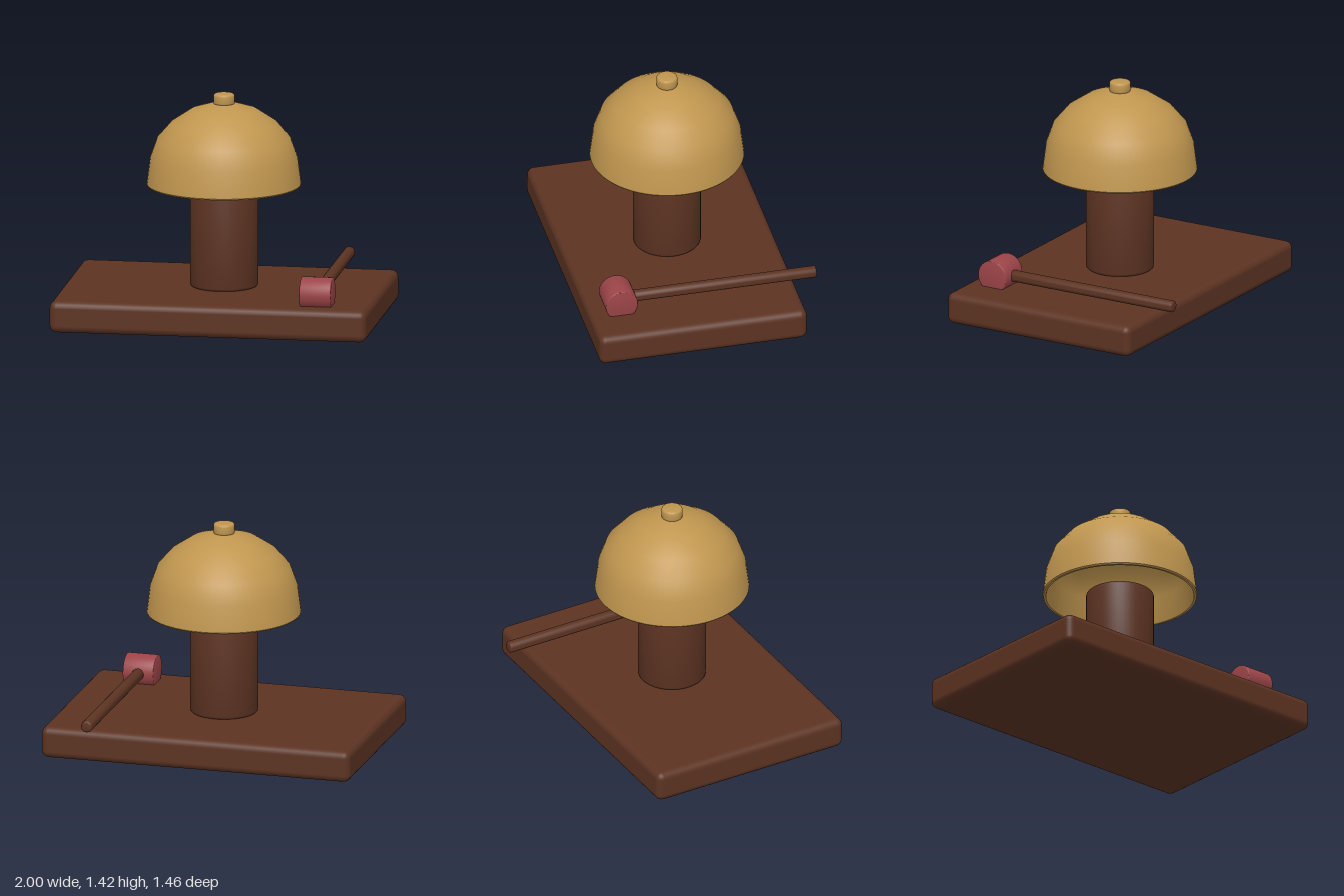
import * as THREE from 'three';
import { RoundedBoxGeometry } from 'three/addons/geometries/RoundedBoxGeometry.js';
import { toCreasedNormals } from 'three/addons/utils/BufferGeometryUtils.js';

const CENTRE_Z = 0.065;

function material(name, color) {
  const m = new THREE.MeshStandardMaterial({ color });
  m.name = name;
  return m;
}

// Solid cylinder standing on y = 0 with softly rounded rims
function roundedCylinder(radius, height, bevel, sides = 48) {
  const points = [new THREE.Vector2(0, 0)];
  for (const [cy, start] of [[bevel, -Math.PI / 2], [height - bevel, 0]]) {
    for (let i = 0; i <= 3; i++) {
      const a = start + (i / 3) * (Math.PI / 2);
      points.push(new THREE.Vector2(radius - bevel + bevel * Math.cos(a), cy + bevel * Math.sin(a)));
    }
  }
  points.push(new THREE.Vector2(0, height));
  return toCreasedNormals(new THREE.LatheGeometry(points, sides), 0.6);
}

export function createModel() {
  const wood = material('dark wood', 0x5c3322);
  const brass = material('brass', 0xc0964f);
  const red = material('mallet red', 0x9b4448);

  const model = new THREE.Group();
  model.name = 'bellWithMallet';
  function add(name, geometry, mat, x, y, z) {
    const mesh = new THREE.Mesh(geometry, mat);
    mesh.name = name;
    mesh.position.set(x, y, z);
    model.add(mesh);
    return mesh;
  }

  // Base slab and the post that carries the bell
  add('base', new RoundedBoxGeometry(2, 0.2, 1.33, 3, 0.045), wood, 0, 0.1, CENTRE_Z);
  add('post', roundedCylinder(0.212, 0.655, 0.018), wood, 0, 0.2, CENTRE_Z);

  // Hollow bell: inner wall from crown to rim, then outer wall back up
  const outer = [
    [0.482, 0.85], [0.461, 1.015], [0.416, 1.14], [0.33, 1.237],
    [0.208, 1.318], [0.085, 1.357], [0, 1.362],
  ];
  const inner = [
    [0, 1.337], [0.08, 1.333], [0.197, 1.296], [0.312, 1.219],
    [0.394, 1.128], [0.437, 1.01], [0.458, 0.85],
  ];
  const rim = [[0.462, 0.841], [0.476, 0.841]];
  const profile = [...inner, ...rim, ...outer].map(([r, y]) => new THREE.Vector2(r, y));
  add('bell', toCreasedNormals(new THREE.LatheGeometry(profile, 64), 0.6), brass, 0, 0, CENTRE_Z);
  add('bellKnob', roundedCylinder(0.066, 0.07, 0.014, 32), brass, 0, 1.352, CENTRE_Z);

  // Mallet: handle along z, striking head across x
  const handle = add('malletHandle', roundedCylinder(0.037, 1.23, 0.012, 24), wood, 0.665, 0.268, 0.5);
  handle.rotation.x = -Math.PI / 2;
  const head = add('malletHead', roundedCylinder(0.103, 0.198, 0.006, 32), red, 0.764, 0.27, 0.535);
  head.rotation.z = Math.PI / 2;

  return model;
}
